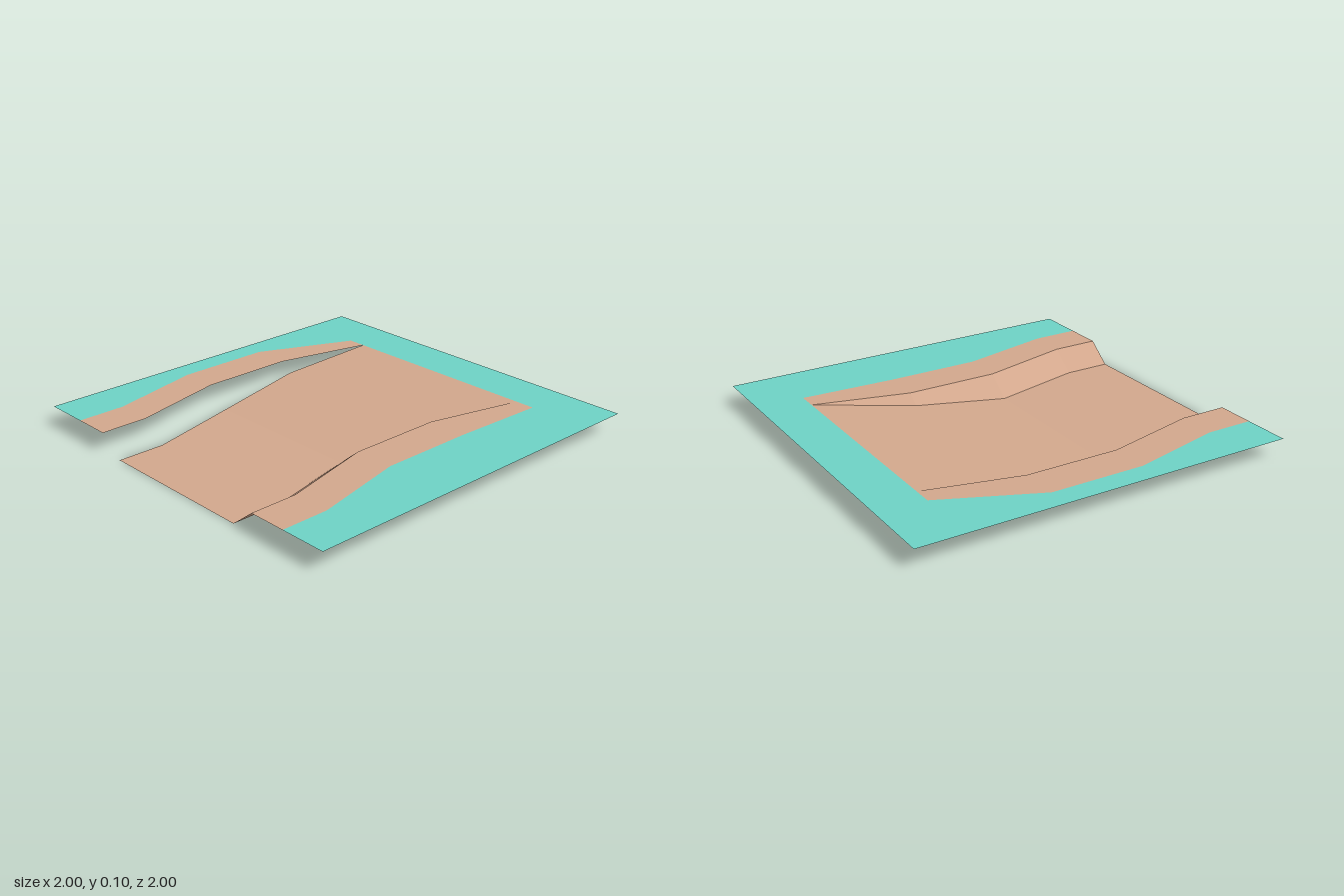
import * as THREE from 'three';

// Stations along the channel, from the front edge to the back end
const Z = [1, 0.75, 0.25, -0.25, -0.75];
const BANK_Y = 0.1;
const BED_Y = [0, 0, 0, 0.05, 0.1];

// Turns a row of x values into an edge line at the given heights
const edge = (xs, ys) => Z.map((z, i) => [xs[i], Array.isArray(ys) ? ys[i] : ys, z]);

// Flat-faceted strip between a left and a right edge line
function strip(name, left, right, material) {
  const pos = [];
  for (let i = 0; i < left.length - 1; i++) {
    const a = left[i], b = right[i], c = right[i + 1], d = left[i + 1];
    pos.push(...a, ...b, ...c, ...a, ...c, ...d);
  }
  const geo = new THREE.BufferGeometry();
  geo.setAttribute('position', new THREE.Float32BufferAttribute(pos, 3));
  geo.computeVertexNormals();
  const mesh = new THREE.Mesh(geo, material);
  mesh.name = name;
  return mesh;
}

export function createModel() {
  const grass = new THREE.MeshStandardMaterial({ color: 0x6ed2c5, side: THREE.DoubleSide, flatShading: true });
  grass.name = 'grass teal';
  const earth = new THREE.MeshStandardMaterial({ color: 0xd2a78c, side: THREE.DoubleSide, flatShading: true });
  earth.name = 'earth tan';

  // Edge lines from left to right across the tile
  const tileLeft = edge([-1, -1, -1, -1, -1], BANK_Y);
  const dirtLeft = edge([-0.76, -0.76, -0.88, -0.88, -0.66], BANK_Y);
  const rimLeft = edge([-0.56, -0.56, -0.68, -0.68, -0.56], BANK_Y);
  const bedLeft = edge([-0.43, -0.43, -0.56, -0.62, -0.56], BED_Y);
  const bedRight = edge([0.43, 0.43, 0.31, 0.37, 0.555], BED_Y);
  const rimRight = edge([0.555, 0.555, 0.43, 0.43, 0.555], BANK_Y);
  const dirtRight = edge([0.755, 0.755, 0.64, 0.64, 0.66], BANK_Y);
  const tileRight = edge([1, 1, 1, 1, 1], BANK_Y);

  const model = new THREE.Group();
  model.name = 'riverbedTile';
  model.add(
    // Grass on both sides and behind the channel
    strip('grassRightSide', tileLeft, dirtLeft, grass),
    strip('grassLeftSide', dirtRight, tileRight, grass),
    strip('grassBack', [[-1, BANK_Y, -0.75], [-1, BANK_Y, -1]], [[1, BANK_Y, -0.75], [1, BANK_Y, -1]], grass),
    // Bare earth borders along the rims
    strip('earthBorderRight', dirtLeft, rimLeft, earth),
    strip('earthBorderLeft', rimRight, dirtRight, earth),
    // Channel floor that ramps up to the back, and its one sloping bank
    strip('channelBed', bedLeft, bedRight, earth),
    strip('channelBank', bedRight, rimRight, earth),
  );
  return model;
}
